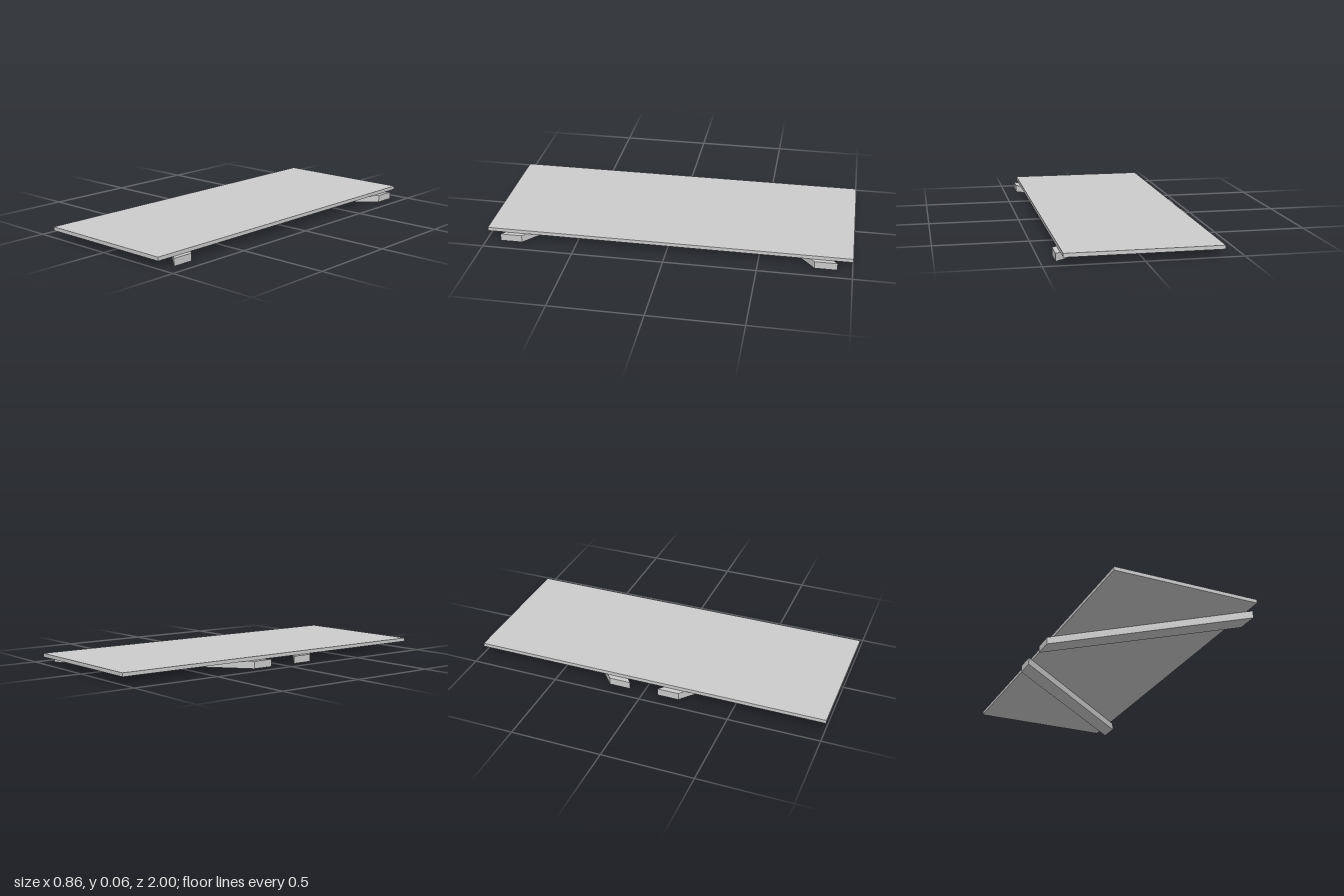
import * as THREE from 'three';

export function createModel() {
  const group = new THREE.Group();
  const material = new THREE.MeshStandardMaterial({ color: 0xcccccc, flatShading: true });

  // Flat top panel
  const panel = new THREE.Mesh(new THREE.BoxGeometry(0.8, 0.02, 2), material);
  panel.name = 'panel';
  panel.position.y = 0.05;
  group.add(panel);

  // Diagonal battens underneath, mirrored front to back, ends cut parallel to the panel sides
  for (const side of [1, -1]) {
    const outline = [[-0.43, 0.08], [0.425, 0.8], [0.425, 0.92], [-0.43, 0.2]]
      .map(([x, z]) => new THREE.Vector2(x, -z * side));
    const geometry = new THREE.ExtrudeGeometry(new THREE.Shape(outline), { depth: 0.04, bevelEnabled: false });
    geometry.rotateX(-Math.PI / 2);
    const batten = new THREE.Mesh(geometry, material);
    batten.name = side > 0 ? 'frontBatten' : 'backBatten';
    group.add(batten);
  }
  return group;
}
